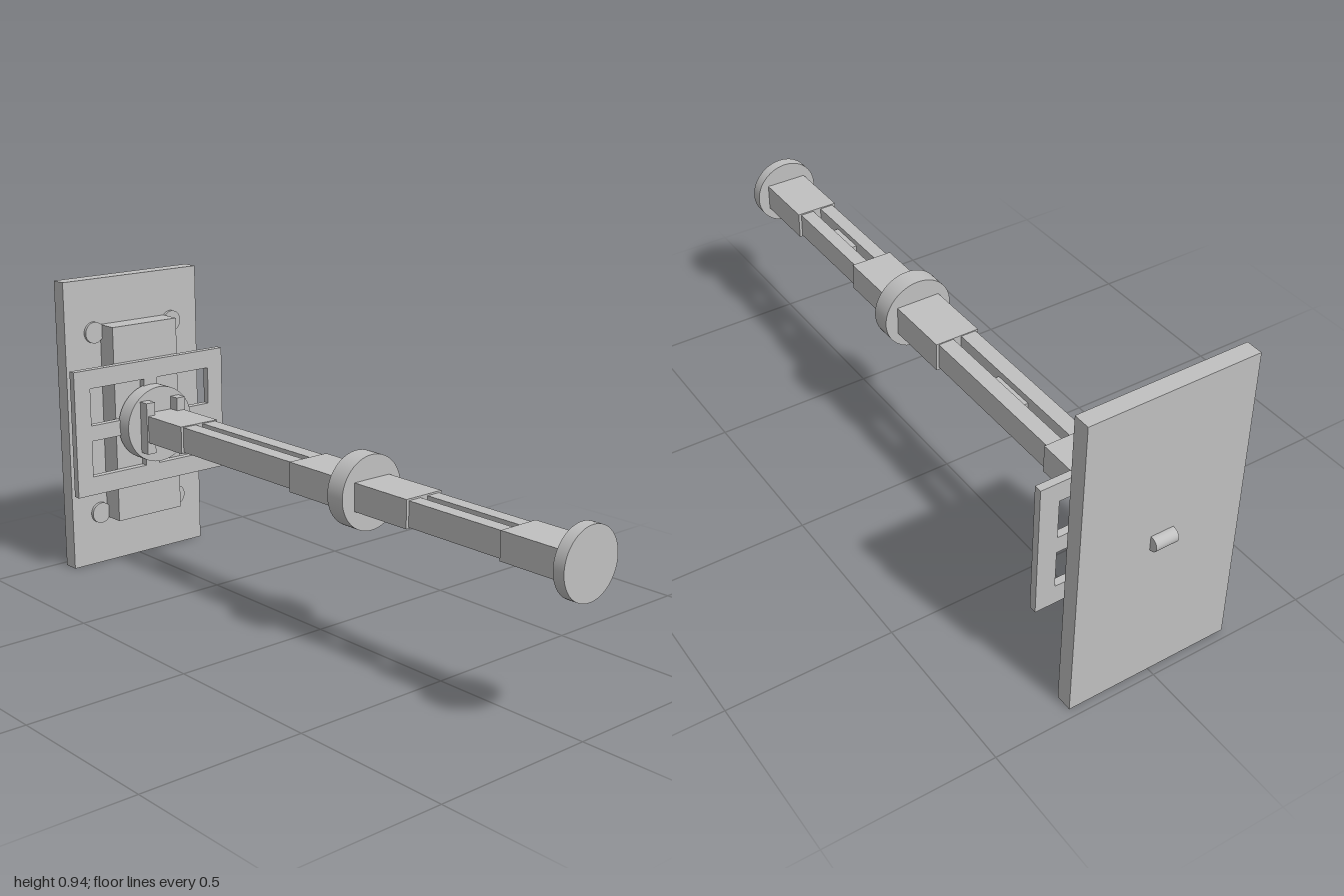
import * as THREE from 'three';

const MID = 0.472; // height of the rod axis

export function createModel() {
  const model = new THREE.Group();
  const grey = new THREE.MeshStandardMaterial({ color: 0xc0c0c0 });
  grey.name = 'light grey';

  const add = (name, geometry) => {
    const mesh = new THREE.Mesh(geometry, grey);
    mesh.name = name;
    model.add(mesh);
    return mesh;
  };
  // box given by its extents
  const box = (name, x0, x1, y0, y1, z0, z1) =>
    add(name, new THREE.BoxGeometry(x1 - x0, y1 - y0, z1 - z0))
      .position.set((x0 + x1) / 2, (y0 + y1) / 2, (z0 + z1) / 2);
  // disc with its axis along x
  const disc = (name, x0, x1, r, y = MID, z = 0) =>
    add(name, new THREE.CylinderGeometry(r, r, x1 - x0, 64).rotateZ(Math.PI / 2))
      .position.set((x0 + x1) / 2, y, z);

  // wall plate, mounting block and rear peg
  box('wallPlate', -0.975, -0.925, 0, 0.94, -0.255, 0.255);
  box('mountingBlock', -0.925, -0.855, 0.152, 0.792, -0.123, 0.123);
  add('rearPeg', new THREE.CylinderGeometry(0.022, 0.022, 0.07, 32).rotateX(Math.PI / 2))
    .position.set(-0.978, MID, 0);

  // four round bolts
  for (const y of [0.172, 0.77])
    for (const z of [-0.15, 0.15]) disc('bolt', -0.925, -0.915, 0.034, y, z);

  // frame with four windows, drawn in z and y, then turned to face x
  const rectangle = (S, a0, a1, b0, b1) => new S([
    new THREE.Vector2(a0, b0), new THREE.Vector2(a1, b0),
    new THREE.Vector2(a1, b1), new THREE.Vector2(a0, b1)]);
  const outline = rectangle(THREE.Shape, -0.288, 0.288, 0.268, 0.675);
  for (const [y0, y1] of [[0.328, 0.445], [0.495, 0.615]])
    for (const [z0, z1] of [[-0.23, -0.025], [0.025, 0.23]])
      outline.holes.push(rectangle(THREE.Path, z0, z1, y0, y1));
  add('windowFrame', new THREE.ExtrudeGeometry(outline, { depth: 0.023, bevelEnabled: false })
    .rotateY(Math.PI / 2)).position.x = -0.855;

  // round hub with two upright brackets
  disc('hub', -0.84, -0.785, 0.123);
  for (const s of [-1, 1]) {
    const z = s * 0.059;
    box('hubBracket', -0.785, -0.75, 0.39, 0.557, z - 0.016, z + 0.016);
  }

  // solid rod sections
  box('rodBase', -0.785, -0.575, 0.428, 0.515, -0.07, 0.07);
  box('rodMiddle', -0.055, 0.18, 0.425, 0.515, -0.07, 0.07);
  box('rodOuter', 0.18, 0.422, 0.43, 0.513, -0.065, 0.065);
  box('rodTip', 0.76, 0.97, 0.43, 0.512, -0.065, 0.065);

  // slotted sections: two rails with a recessed bridge between them
  const slotted = (x0, x1, b0, b1, y0, y1, half) => {
    box('slotRail', x0, x1, y0, y1, 0.013, half);
    box('slotRail', x0, x1, y0, y1, -half, -0.013);
    box('slotBridge', b0, b1, MID - 0.02, MID + 0.02, -0.013, 0.013);
  };
  slotted(-0.575, -0.055, -0.385, -0.245, 0.432, 0.512, 0.062);
  slotted(0.422, 0.76, 0.535, 0.65, 0.433, 0.508, 0.056);

  // collar and end cap
  disc('collar', 0.155, 0.217, 0.11);
  disc('endCap', 0.965, 1, 0.101);

  return model;
}
